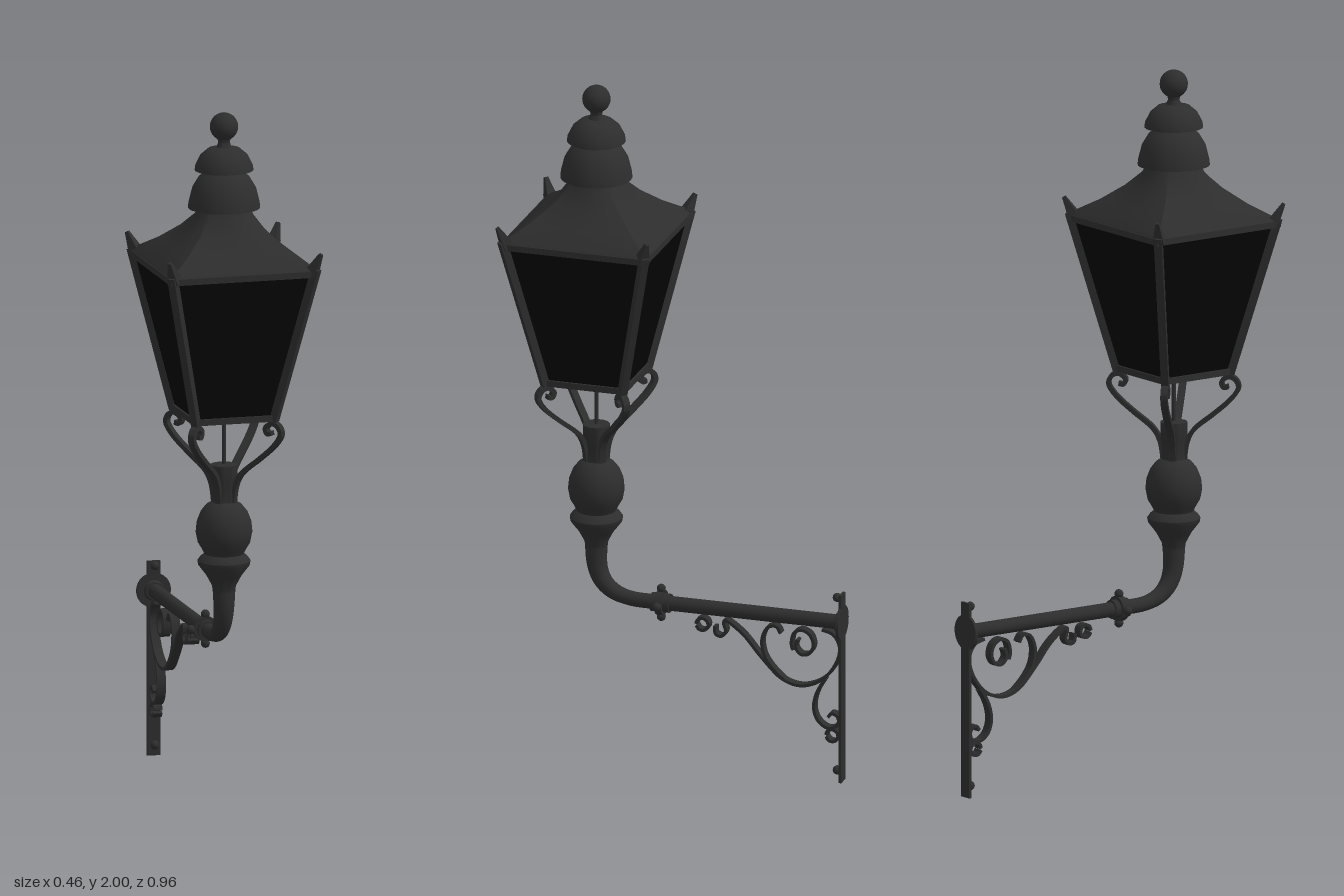
import * as THREE from 'three';
import { toCreasedNormals } from 'three/addons/utils/BufferGeometryUtils.js';

const LZ = 0.25;   // lantern axis
const ARM_Y = 0.475; // height of the wall arm

export function createModel() {
  const root = new THREE.Group();
  const iron = new THREE.MeshStandardMaterial({ color: 0x2d2d2d });
  iron.name = 'blackIron';
  iron.side = THREE.DoubleSide;
  const glass = new THREE.MeshStandardMaterial({ color: 0x050505 });
  glass.name = 'darkGlass';
  glass.side = THREE.DoubleSide;

  const add = (parent, name, geo, x = 0, y = 0, z = 0, mat = iron) => {
    const m = new THREE.Mesh(geo, mat);
    m.name = name;
    m.position.set(x, y, z);
    parent.add(m);
    return m;
  };
  const group = (name, x = 0, y = 0, z = 0) => {
    const g = new THREE.Group();
    g.name = name;
    g.position.set(x, y, z);
    root.add(g);
    return g;
  };
  const lathe = (pts, seg = 28) =>
    toCreasedNormals(new THREE.LatheGeometry(pts.map(p => new THREE.Vector2(...p)), seg), 0.7);

  // Flat strap following a 2D curve, extruded to a width
  const strap = (pts, thick, width) => {
    const curve = new THREE.SplineCurve(pts.map(p => new THREE.Vector2(...p)));
    const n = pts.length * 5, a = [], b = [];
    for (let i = 0; i <= n; i++) {
      const p = curve.getPoint(i / n), t = curve.getTangent(i / n);
      a.push(new THREE.Vector2(p.x - t.y * thick / 2, p.y + t.x * thick / 2));
      b.unshift(new THREE.Vector2(p.x + t.y * thick / 2, p.y - t.x * thick / 2));
    }
    const geo = new THREE.ExtrudeGeometry(new THREE.Shape([...a, ...b]), { depth: width, bevelEnabled: false });
    geo.translate(0, 0, -width / 2);
    return toCreasedNormals(geo, 0.7);
  };
  // Square bar between two points
  const bar = (parent, name, a, b, r0, r1, sides = 4) => {
    const d = b.clone().sub(a);
    const geo = toCreasedNormals(new THREE.CylinderGeometry(r1, r0, d.length(), sides), 0.7);
    const m = add(parent, name, geo);
    m.position.copy(a).add(b).multiplyScalar(0.5);
    m.quaternion.setFromUnitVectors(new THREE.Vector3(0, 1, 0), d.normalize());
    return m;
  };

  // Lantern
  const lantern = group('lantern', 0, 0, LZ);
  const pane = new THREE.CylinderGeometry(0.207 * Math.SQRT2, 0.114 * Math.SQRT2, 0.43, 4, 1, true);
  pane.rotateY(Math.PI / 4);
  add(lantern, 'glassPanes', toCreasedNormals(pane, 0.5), 0, 1.352, 0, glass);
  for (let k = 0; k < 4; k++) {
    const side = new THREE.Group();
    side.name = 'lanternSide';
    side.rotation.y = k * Math.PI / 2;
    lantern.add(side);
    add(side, 'topRail', new THREE.BoxGeometry(0.43, 0.018, 0.016), 0, 1.566, 0.208);
    add(side, 'bottomRail', new THREE.BoxGeometry(0.24, 0.018, 0.02), 0, 1.138, 0.112);
    add(side, 'floorSpoke', new THREE.BoxGeometry(0.012, 0.008, 0.11), 0, 1.135, 0.055);
    bar(side, 'cornerBar', new THREE.Vector3(0.114, 1.13, 0.114), new THREE.Vector3(0.21, 1.58, 0.21), 0.015, 0.016);
    bar(side, 'cornerEar', new THREE.Vector3(0.198, 1.565, 0.198), new THREE.Vector3(0.221, 1.625, 0.221), 0.024, 0.007);
  }

  // Roof: square eave blending to a round neck
  const rings = [[0.215, 1.572, 0], [0.208, 1.582, 0], [0.155, 1.622, 0.15], [0.113, 1.665, 0.45], [0.083, 1.705, 0.8], [0.068, 1.74, 1]];
  const SEG = 40, pos = [], idx = [];
  rings.forEach(([r, y, round], j) => {
    for (let i = 0; i <= SEG; i++) {
      const a = i / SEG * Math.PI * 2, c = Math.cos(a), s = Math.sin(a);
      const k = r * THREE.MathUtils.lerp(1 / Math.max(Math.abs(c), Math.abs(s)), 1, round);
      pos.push(s * k, y, c * k);
      if (j && i < SEG) {
        const p = (j - 1) * (SEG + 1) + i, q = p + SEG + 1;
        idx.push(p, p + 1, q, p + 1, q + 1, q);
      }
    }
  });
  const roof = new THREE.BufferGeometry();
  roof.setAttribute('position', new THREE.Float32BufferAttribute(pos, 3));
  roof.setIndex(idx);
  add(lantern, 'roof', toCreasedNormals(roof, 0.6));

  // Chimney caps and ball finial
  add(lantern, 'chimneyCaps', lathe([
    [0.066, 1.72], [0.066, 1.738], [0.102, 1.728], [0.1, 1.745], [0.09, 1.785], [0.072, 1.815], [0.052, 1.832],
    [0.05, 1.845], [0.083, 1.836], [0.081, 1.85], [0.067, 1.878], [0.045, 1.897], [0.022, 1.902], [0.016, 1.915], [0.02, 1.93]]));
  add(lantern, 'finial', new THREE.SphereGeometry(0.04, 24, 16), 0, 1.96, 0);

  // Curled arms carrying the lantern corners
  const armPath = [[0.03, 0.88], [0.038, 0.93], [0.06, 0.97], [0.115, 1.015], [0.16, 1.055], [0.184, 1.09],
    [0.176, 1.115], [0.155, 1.122], [0.137, 1.108], [0.142, 1.092], [0.156, 1.094]];
  const armGeo = strap(armPath, 0.013, 0.02);
  for (let k = 0; k < 4; k++)
    add(lantern, 'cradleArm', armGeo).rotation.y = Math.PI / 4 + k * Math.PI / 2;
  add(lantern, 'gasRod', new THREE.CylinderGeometry(0.006, 0.006, 0.17, 10), 0, 1.06, 0);

  // Turned stem
  add(lantern, 'stem', lathe([
    [0.028, 0.6], [0.034, 0.64], [0.05, 0.67], [0.073, 0.7], [0.075, 0.712], [0.068, 0.722], [0.056, 0.732], [0.062, 0.745],
    [0.074, 0.765], [0.08, 0.795], [0.077, 0.825], [0.066, 0.853], [0.05, 0.873], [0.035, 0.882],
    [0.033, 0.92], [0.038, 0.94], [0.038, 0.988], [0.001, 0.99]]));

  // Wall arm: tapered elbow then straight pipe
  const path = new THREE.CurvePath();
  const V = (y, z) => new THREE.Vector3(0, y, z);
  path.add(new THREE.LineCurve3(V(0.65, LZ), V(0.6, LZ)));
  path.add(new THREE.CubicBezierCurve3(V(0.6, LZ), V(0.51, LZ), V(ARM_Y, 0.2), V(ARM_Y, 0.11)));
  path.add(new THREE.LineCurve3(V(ARM_Y, 0.11), V(ARM_Y, -0.475)));
  const N = 70, RS = 16;
  const pipe = new THREE.TubeGeometry(path, N, 0.021, RS);
  const pp = pipe.attributes.position, v = new THREE.Vector3();
  for (let i = 0; i <= N; i++) {
    const c = path.getPointAt(i / N), s = 1 + 0.6 * Math.max(0, 1 - i / N / 0.25);
    for (let j = 0; j <= RS; j++) {
      const id = i * (RS + 1) + j;
      v.fromBufferAttribute(pp, id).sub(c).multiplyScalar(s).add(c);
      pp.setXYZ(id, v.x, v.y, v.z);
    }
  }
  add(root, 'wallArm', pipe);

  // Knobbed collar on the arm
  const collar = group('collar', 0, ARM_Y, 0.058);
  add(collar, 'collarSleeve', new THREE.CylinderGeometry(0.027, 0.027, 0.055, 20)).rotation.x = Math.PI / 2;
  add(collar, 'collarRing', new THREE.CylinderGeometry(0.036, 0.036, 0.02, 20)).rotation.x = Math.PI / 2;
  for (let k = 0; k < 4; k++) {
    const a = k * Math.PI / 2;
    add(collar, 'collarKnob', new THREE.SphereGeometry(0.013, 12, 8), Math.cos(a) * 0.042, Math.sin(a) * 0.042, 0);
  }

  // Wall plate with boss and bolts
  const wall = group('wallPlate', 0, 0, -0.476);
  add(wall, 'backPlate', new THREE.BoxGeometry(0.038, 0.56, 0.008), 0, 0.28, 0);
  add(wall, 'roundBoss', new THREE.CylinderGeometry(0.05, 0.05, 0.008, 28), 0, ARM_Y, 0).rotation.x = Math.PI / 2;
  add(wall, 'armFlange', new THREE.CylinderGeometry(0.026, 0.03, 0.014, 20), 0, ARM_Y, 0.009).rotation.x = Math.PI / 2;
  for (const y of [0.548, 0.032])
    add(wall, 'bolt', new THREE.SphereGeometry(0.013, 12, 8), 0, y, 0.014);

  // Scrollwork under the arm (z, y paths)
  const scrolls = group('scrollwork');
  scrolls.rotation.y = -Math.PI / 2;
  const W = 0.026, T = 0.009;
  [
    [[-0.103, 0.425], [-0.106, 0.403], [-0.124, 0.398], [-0.136, 0.415], [-0.13, 0.437], [-0.14, 0.445], [-0.19, 0.408], [-0.24, 0.35],
      [-0.3, 0.292], [-0.36, 0.276], [-0.42, 0.3], [-0.46, 0.35], [-0.473, 0.4], [-0.455, 0.438], [-0.42, 0.45]],
    [[-0.298, 0.425], [-0.284, 0.445], [-0.258, 0.437], [-0.243, 0.4], [-0.25, 0.355], [-0.275, 0.318], [-0.31, 0.286]],
    [[-0.348, 0.412], [-0.342, 0.39], [-0.358, 0.37], [-0.382, 0.374], [-0.395, 0.4], [-0.385, 0.43], [-0.36, 0.442], [-0.337, 0.43], [-0.33, 0.4], [-0.335, 0.38]],
    [[-0.43, 0.305], [-0.405, 0.26], [-0.396, 0.215], [-0.408, 0.178], [-0.437, 0.158], [-0.465, 0.168], [-0.468, 0.192], [-0.45, 0.203], [-0.438, 0.19]],
  ].forEach(p => add(scrolls, 'scroll', strap(p, T, W)));
  for (const [z, y] of [[-0.066, 0.427], [-0.45, 0.137]])
    add(scrolls, 'scrollRing', strap(
      [...Array(9)].map((_, i) => [z + 0.018 * Math.cos(i * 0.75), y + 0.018 * Math.sin(i * 0.75)]), T, W));
  return root;
}
